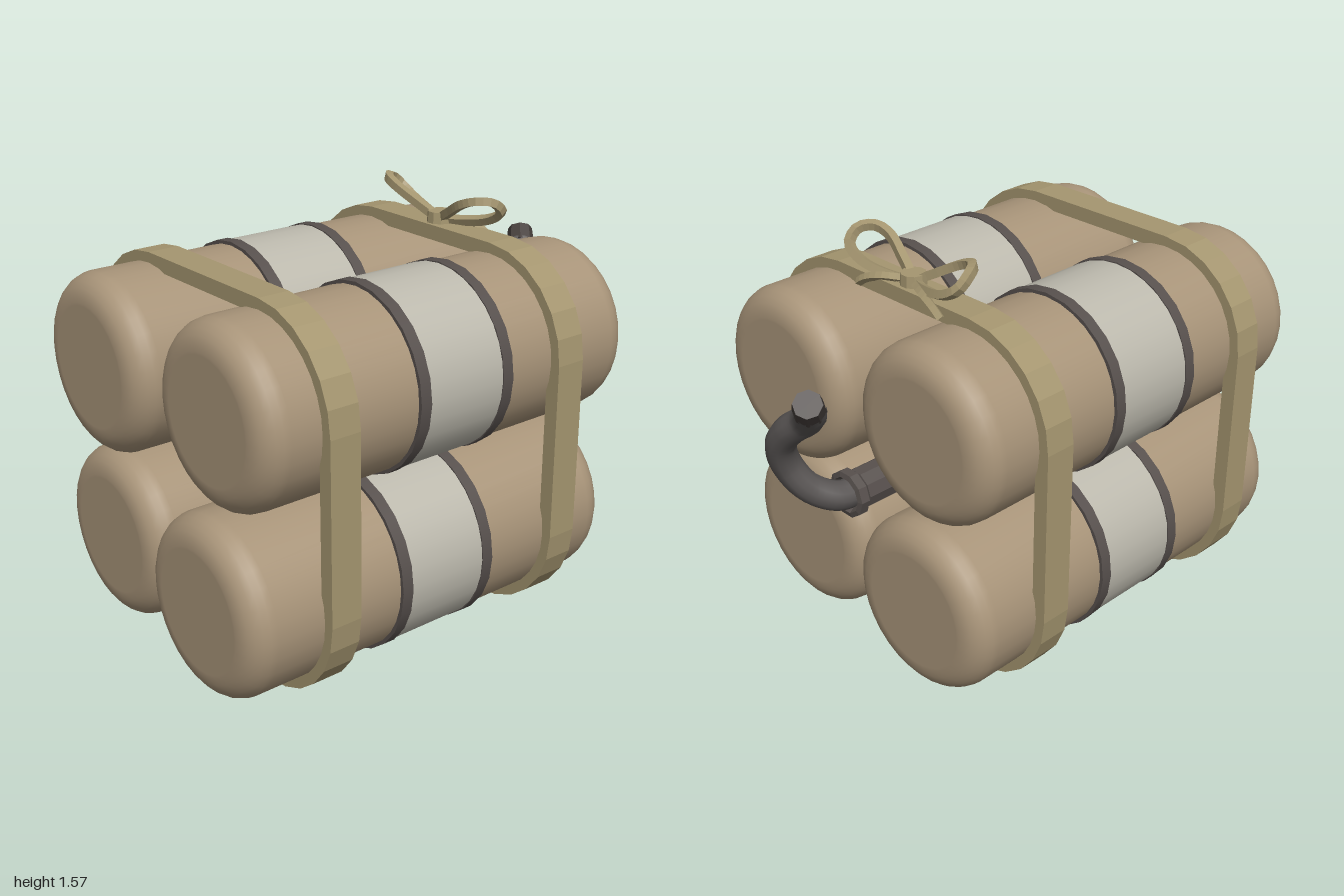
import * as THREE from 'three';

const mat = (color, opts = {}) => new THREE.MeshStandardMaterial({ color, ...opts });
const V = (x, y, z) => new THREE.Vector3(x, y, z);

export function createModel() {
  const root = new THREE.Group();
  const tan = mat(0xa89479);
  const grey = mat(0xbcb9ad);
  const dark = mat(0x57504d);
  const strapMat = mat(0xa59670, { flatShading: true });
  const pipeMat = mat(0x5a5655);
  const tipMat = mat(0x463f3c, { flatShading: true });

  const add = (parent, name, geometry, material) => {
    const mesh = new THREE.Mesh(geometry, material);
    mesh.name = name;
    parent.add(mesh);
    return mesh;
  };

  // Canister body: rounded drum lying along x
  const R = 0.333, H = 0.825, F = 0.1;
  const profile = [new THREE.Vector2(0, -H), new THREE.Vector2(R - F - 0.01, -H)];
  for (const end of [-1, 1]) {
    for (let i = 0; i <= 6; i++) {
      const a = (end < 0 ? i / 6 : 1 - i / 6) * Math.PI / 2;
      profile.push(new THREE.Vector2(R - F + F * Math.sin(a), end * (H - F + F * Math.cos(a))));
    }
  }
  profile.push(new THREE.Vector2(R - F - 0.01, H), new THREE.Vector2(0, H));
  const bodyGeo = new THREE.LatheGeometry(profile, 32).rotateZ(-Math.PI / 2);
  const labelGeo = new THREE.CylinderGeometry(0.342, 0.342, 0.34, 32).rotateZ(-Math.PI / 2);
  const edgeGeo = new THREE.CylinderGeometry(0.347, 0.347, 0.045, 24).rotateZ(-Math.PI / 2);

  // Four canisters, each slid a little along x
  const stack = [
    ['frontTopCanister', -0.105, 1.048, 0.336],
    ['frontBottomCanister', -0.175, 0.375, 0.336],
    ['backTopCanister', -0.155, 1.048, -0.336],
    ['backBottomCanister', -0.12, 0.375, -0.336],
  ];
  for (const [name, x, y, z] of stack) {
    const can = new THREE.Group();
    can.name = name;
    can.position.set(x, y, z);
    add(can, 'body', bodyGeo, tan);
    add(can, 'band', labelGeo, grey);
    for (const s of [-1, 1]) add(can, 'bandEdge', edgeGeo, dark).position.x = s * 0.187;
    root.add(can);
  }

  // Straps: rounded square loops around the whole stack
  const loopPoints = (r) => {
    const pts = [];
    const corners = [[0.336, 1.048], [-0.336, 1.048], [-0.336, 0.372], [0.336, 0.372]];
    corners.forEach(([cx, cy], q) => {
      for (let i = 0; i <= 6; i++) {
        const a = (q + i / 6) * Math.PI / 2;
        pts.push(new THREE.Vector2(cx + r * Math.cos(a), cy + r * Math.sin(a)));
      }
    });
    return pts;
  };
  const strapShape = new THREE.Shape(loopPoints(0.372));
  strapShape.holes.push(new THREE.Path(loopPoints(0.315)));
  const strapGeo = new THREE.ExtrudeGeometry(strapShape, { depth: 0.122, bevelEnabled: false })
    .translate(0, 0, -0.061).rotateY(Math.PI / 2);
  for (const [name, x] of [['rightStrap', -0.652], ['leftStrap', 0.365]]) {
    add(root, name, strapGeo, strapMat).position.x = x;
  }

  // Bow: knot, two tilted loops and two short tails
  const bow = new THREE.Group();
  bow.name = 'bow';
  bow.position.set(0.365, 1.42, 0);
  root.add(bow);
  add(bow, 'knot', new THREE.CylinderGeometry(0.047, 0.05, 0.05, 10), strapMat).position.y = 0.018;
  for (const s of [-1, 1]) {
    const loop = new THREE.CatmullRomCurve3([
      V(0, 0.015, s * 0.02), V(-0.035, 0.065, s * 0.1), V(-0.058, 0.113, s * 0.19),
      V(-0.045, 0.132, s * 0.25), V(0.005, 0.125, s * 0.286), V(0.05, 0.083, s * 0.28),
      V(0.058, 0.045, s * 0.22), V(0.04, 0.02, s * 0.12),
    ], true);
    add(bow, 'bowLoop', new THREE.TubeGeometry(loop, 28, 0.021, 4, true), strapMat);
    const tail = new THREE.CatmullRomCurve3([
      V(0.02, 0.015, s * 0.03), V(0.055, 0.01, s * 0.11), V(0.068, -0.015, s * 0.18),
      V(0.07, -0.04, s * 0.215),
    ]);
    add(bow, 'bowTail', new THREE.TubeGeometry(tail, 8, 0.017, 4), strapMat);
  }

  // Bent hose leaving the gap between the canisters
  const hose = new THREE.Group();
  hose.name = 'hose';
  root.add(hose);
  const path = new THREE.CatmullRomCurve3([
    V(0.45, 0.71, 0), V(0.62, 0.71, 0), V(0.74, 0.715, 0.01), V(0.83, 0.77, 0.06),
    V(0.885, 0.87, 0.098), V(0.915, 0.97, 0.08), V(0.917, 1.05, 0.02),
    V(0.905, 1.11, -0.055), V(0.925, 1.165, -0.115), V(0.95, 1.205, -0.143),
  ]);
  add(hose, 'hosePipe', new THREE.TubeGeometry(path, 44, 0.055, 12), pipeMat);

  // Collar with an open rim around the hose root
  const collar = [[0.06, 0.45], [0.075, 0.45], [0.075, 0.66], [0.09, 0.675], [0.09, 0.71], [0.07, 0.715], [0.055, 0.69]]
    .map(([r, y]) => new THREE.Vector2(r, y));
  const collarGeo = new THREE.LatheGeometry(collar, 10).rotateZ(-Math.PI / 2);
  add(hose, 'hoseCollar', collarGeo, mat(0x57504d, { flatShading: true, side: THREE.DoubleSide }))
    .position.y = 0.71;

  // Dark tip closing the hose
  const dir = V(0.03, 0.045, -0.035).normalize();
  const tip = add(hose, 'hoseTip', new THREE.CylinderGeometry(0.05, 0.057, 0.075, 8), tipMat);
  tip.quaternion.setFromUnitVectors(V(0, 1, 0), dir);
  tip.position.copy(path.getPoint(1)).addScaledVector(dir, 0.024);

  return root;
}
